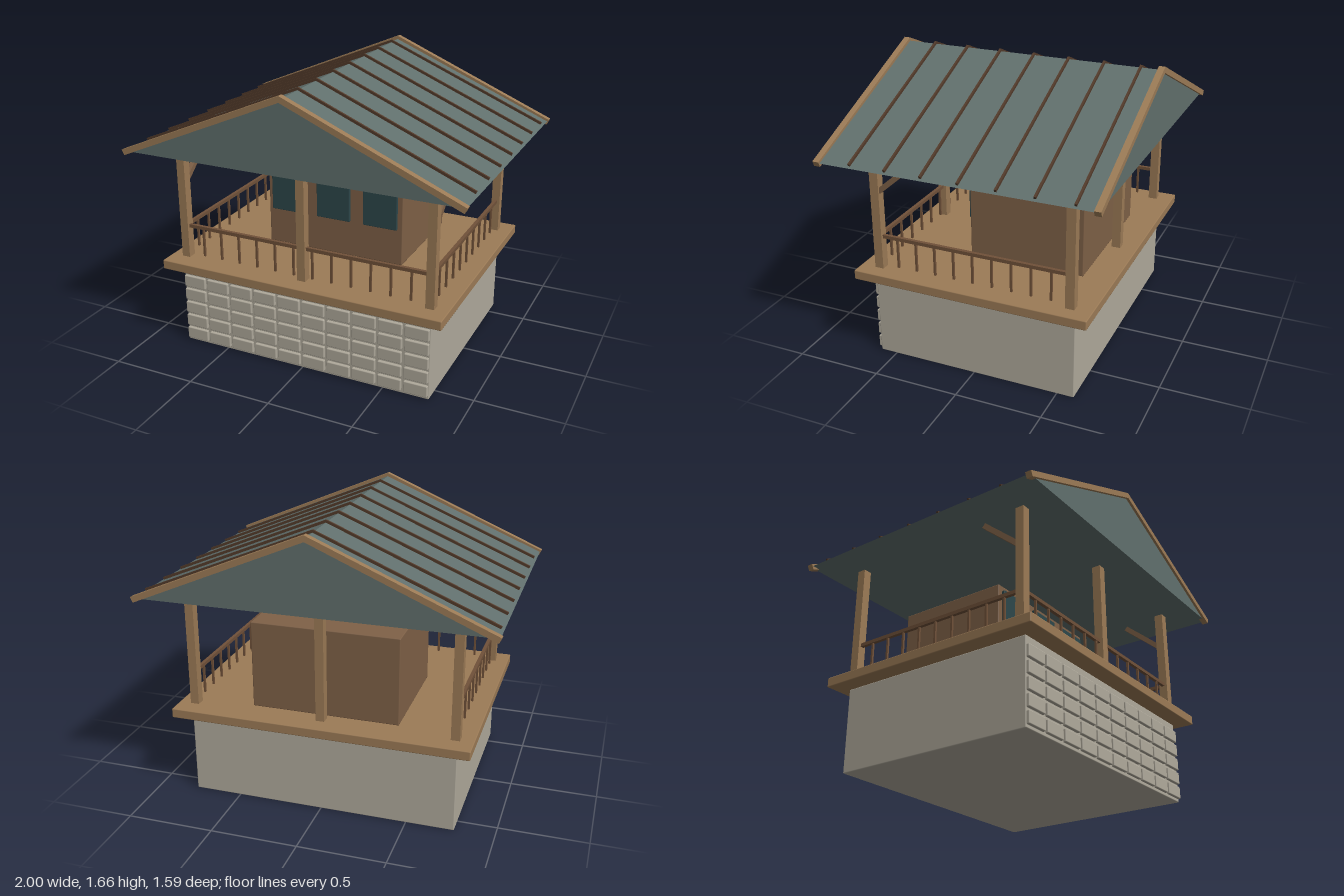
import * as THREE from 'three';
import { RoundedBoxGeometry } from 'three/addons/geometries/RoundedBoxGeometry.js';

const material = (name, color) => {
  const m = new THREE.MeshStandardMaterial({ color });
  m.name = name;
  return m;
};

export function createModel() {
  const stone = material('stone', 0xb0aa9c);
  const timber = material('timber', 0x9c7b56);
  const wall = material('cabin wood', 0x7f6147);
  const railWood = material('rail wood', 0x705139);
  const seamWood = material('dark batten', 0x523a2a);
  const roofing = material('roofing', 0x61706d);
  const glass = material('glass', 0x2d474b);

  const model = new THREE.Group();
  model.name = 'raisedCabin';

  const add = (name, geometry, mat, x, y, z) => {
    const mesh = new THREE.Mesh(geometry, mat);
    mesh.name = name;
    mesh.position.set(x, y, z);
    model.add(mesh);
    return mesh;
  };
  const box = (name, mat, w, h, d, x, y, z) =>
    add(name, new THREE.BoxGeometry(w, h, d), mat, x, y, z);
  const bevelBox = (name, mat, w, h, d, x, y, z, r = 0.006) =>
    add(name, new RoundedBoxGeometry(w, h, d, 1, r), mat, x, y, z);
  // Outline in the xy plane, extruded along z and centred on the given z
  const slab = (name, mat, points, depth, z) => {
    const shape = new THREE.Shape(points.map(([x, y]) => new THREE.Vector2(x, y)));
    const geometry = new THREE.ExtrudeGeometry(shape, { depth, bevelEnabled: false });
    return add(name, geometry, mat, 0, 0, z - depth / 2);
  };

  // Stone base with a block-faced front
  bevelBox('stoneBase', stone, 1.55, 0.485, 1.2, 0, 0.2425, 0);
  for (let row = 0; row < 5; row++) {
    for (let col = 0; col < 10; col++) {
      bevelBox('stoneBlock', stone, 0.14, 0.071, 0.03,
        -0.7 + col * 0.1555, 0.054 + row * 0.0867, 0.602);
    }
  }

  // Deck
  bevelBox('deck', timber, 1.72, 0.056, 1.38, 0, 0.521, 0);

  // Cabin and its windows
  bevelBox('cabin', wall, 0.86, 0.512, 0.685, 0, 0.806, -0.172);
  for (const x of [-0.295, 0, 0.295]) {
    bevelBox('window', glass, 0.21, 0.26, 0.02, x, 0.9, 0.18, 0.004);
  }

  // Posts, three along the front and three along the back
  for (const z of [-0.57, 0.57]) {
    for (const x of [-0.76, 0, 0.76]) {
      box('post', timber, 0.05, 0.68, 0.052, x, 0.893, z);
    }
  }

  // Front railing
  box('frontRail', railWood, 1.48, 0.02, 0.02, 0, 0.746, 0.57);
  for (let i = 0; i < 12; i++) {
    box('frontBaluster', railWood, 0.012, 0.175, 0.012, -0.645 + i * 0.1173, 0.655, 0.57);
  }

  // Side railings and front post braces
  for (const x of [-0.76, 0.76]) {
    box('sideRail', railWood, 0.02, 0.02, 1.1, x, 0.746, 0);
    for (let i = 0; i < 9; i++) {
      box('sideBaluster', railWood, 0.012, 0.175, 0.012, x, 0.655, 0.457 - i * 0.1143);
    }
    const brace = box('brace', wall, 0.03, 0.03, 0.31, x, 1.11, 0.444);
    brace.rotation.x = 0.71;
  }

  // Solid gable roof
  slab('roof', roofing, [[-0.99, 1.23], [0.99, 1.23], [0, 1.645]], 1.56, 0);

  // Raised battens running over the ridge
  for (let i = 0; i < 7; i++) {
    slab('roofBatten', seamWood, [
      [-0.98, 1.25], [-0.973, 1.235], [0, 1.64], [0.973, 1.235], [0.98, 1.25], [0, 1.66],
    ], 0.012, 0.587 - i * 0.208);
  }

  // Barge boards on both gables
  for (const z of [-0.777, 0.777]) {
    slab('bargeBoard', timber, [
      [-1, 1.24], [-0.986, 1.21], [0, 1.63], [0.986, 1.21], [1, 1.24], [0, 1.665],
    ], 0.036, z);
  }

  return model;
}
